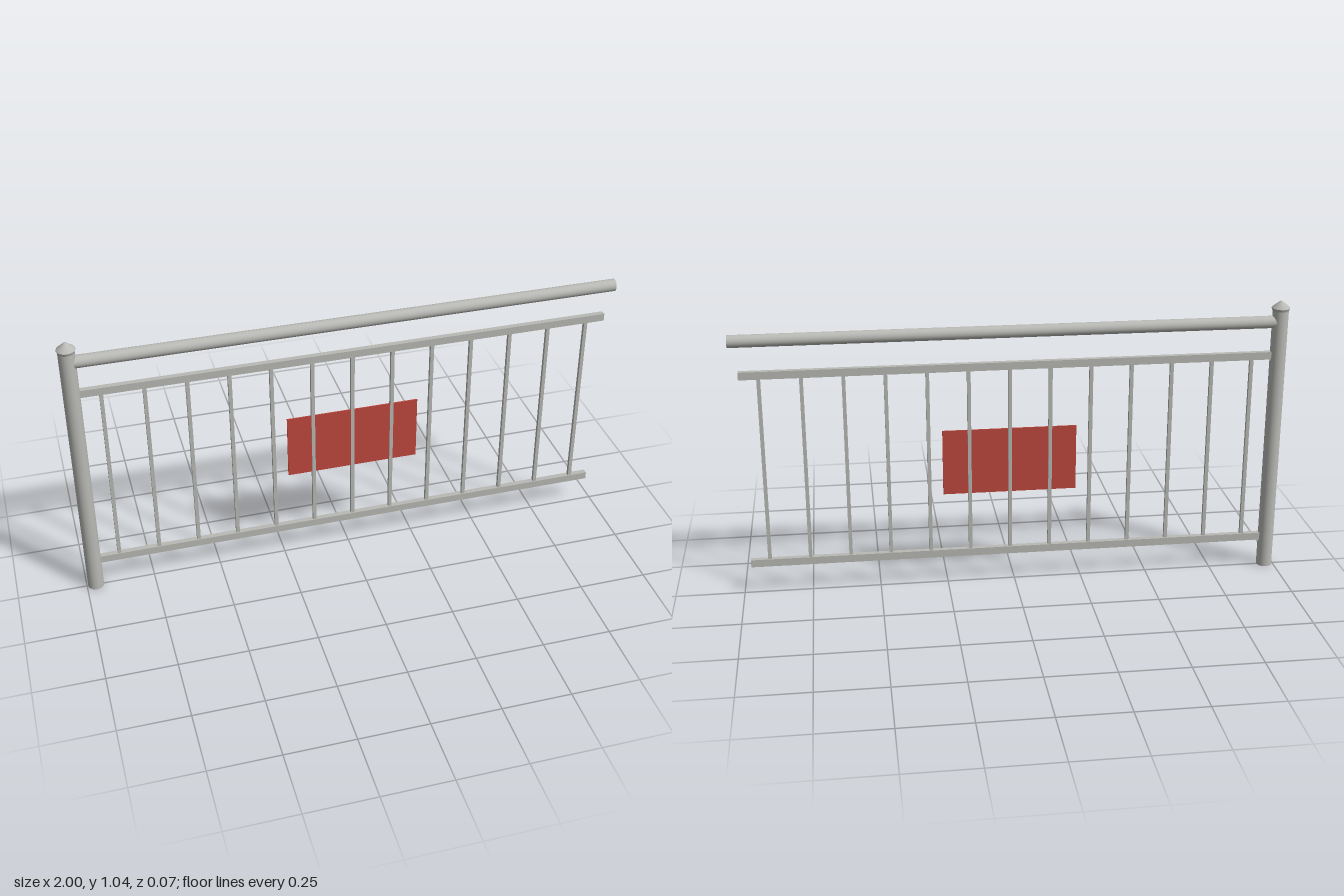
import * as THREE from 'three';

export function createModel() {
  const model = new THREE.Group();
  model.name = 'railingSection';

  const steel = new THREE.MeshStandardMaterial({ color: 0xb9b9b5 });
  steel.name = 'grey steel';
  const openSteel = new THREE.MeshStandardMaterial({ color: 0xb9b9b5, side: THREE.DoubleSide });
  openSteel.name = 'grey steel tube';
  const red = new THREE.MeshStandardMaterial({ color: 0xc0483e });
  red.name = 'red panel';

  const add = (name, geometry, material, x, y, z = 0) => {
    const mesh = new THREE.Mesh(geometry, material);
    mesh.name = name;
    mesh.position.set(x, y, z);
    model.add(mesh);
    return mesh;
  };

  // Round end post with a flared, pointed cap
  const postX = -0.967;
  add('post', new THREE.CylinderGeometry(0.029, 0.029, 1.005, 32), steel, postX, 0.5025);
  const cap = (name, profile) => add(name, new THREE.LatheGeometry(
    profile.map(([r, y]) => new THREE.Vector2(r, y)), 32), steel, postX, 0);
  cap('capCollar', [[0.029, 1.003], [0.033, 1.013]]);
  cap('capPoint', [[0.033, 1.013], [0.031, 1.017], [0.004, 1.039], [0, 1.04]]);

  // Hollow round handrail, open at its free end
  const railStart = -0.95, railEnd = 1;
  const handrail = add('handrail',
    new THREE.CylinderGeometry(0.0225, 0.0225, railEnd - railStart, 32, 1, true),
    openSteel, (railStart + railEnd) / 2, 0.962);
  handrail.rotation.z = Math.PI / 2;

  // Upper and lower flat rails
  const barStart = -0.94, barEnd = 0.97;
  for (const [name, y] of [['upperRail', 0.837], ['lowerRail', 0.119]]) {
    add(name, new THREE.BoxGeometry(barEnd - barStart, 0.028, 0.02), steel, (barStart + barEnd) / 2, y);
  }

  // Square balusters between the rails
  const balusterGeometry = new THREE.BoxGeometry(0.013, 0.692, 0.013);
  for (let i = 0; i < 13; i++) {
    add('baluster', balusterGeometry, steel, -0.869 + i * 0.1475, 0.478);
  }

  // Thin panel set in the plane of the balusters
  add('panel', new THREE.BoxGeometry(0.489, 0.246, 0.004), red, 0.017, 0.476);

  return model;
}
